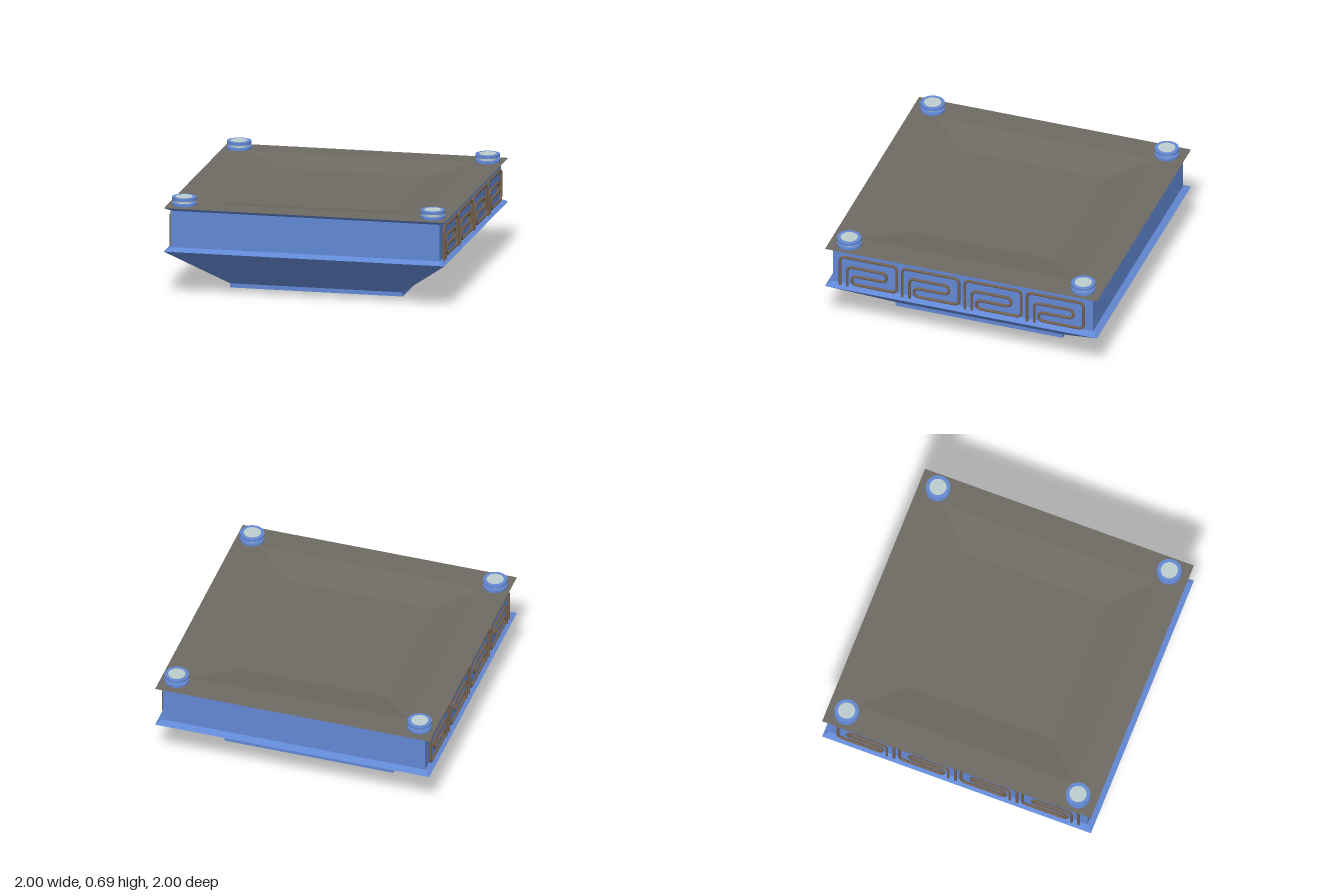
import * as THREE from 'three';

const mat = (color, flatShading = false) => new THREE.MeshStandardMaterial({ color, flatShading });

function add(parent, name, geometry, material) {
  const mesh = new THREE.Mesh(geometry, material);
  mesh.name = name;
  parent.add(mesh);
  return mesh;
}

// Square solid from a profile of [half width, height], going outward and up
function squareLathe(profile) {
  const pts = profile.map(([h, y]) => new THREE.Vector2(h * Math.SQRT2, y));
  return new THREE.LatheGeometry(pts, 4, Math.PI / 4);
}

// Path of straight runs joined by rounded corners
function roundedPath(points, r) {
  const path = new THREE.CurvePath();
  let from = points[0];
  for (let i = 1; i < points.length - 1; i++) {
    const p = points[i];
    const toward = (q, d) => p.clone().add(q.clone().sub(p).setLength(d));
    const a = toward(points[i - 1], r), b = toward(points[i + 1], r);
    const ca = toward(points[i - 1], r * 0.45), cb = toward(points[i + 1], r * 0.45);
    path.add(new THREE.LineCurve3(from, a));
    path.add(new THREE.CubicBezierCurve3(a, ca, cb, b));
    from = b;
  }
  path.add(new THREE.LineCurve3(from, points[points.length - 1]));
  return path;
}

export function createModel() {
  const model = new THREE.Group();
  model.name = 'panelledPlatform';

  const blue = mat(0x6288d4);
  const blueFlat = mat(0x6288d4, true);
  const grey = mat(0x6e6a63, true);
  const pale = mat(0xbccccc);
  const bronze = mat(0x75624f);

  // Body: recessed underside, foot, flared hull, ledge, wall and cornice
  add(model, 'body', squareLathe([
    [0, 0.05], [0.33, 0.05], [0.49, 0], [0.615, 0], [0.615, 0.03],
    [1, 0.325], [0.957, 0.35], [0.957, 0.61], [1, 0.635],
  ]), blueFlat);

  // Deck with a shallow sunken panel
  add(model, 'deck', squareLathe([
    [1, 0.635], [0.8, 0.635], [0.535, 0.585], [0, 0.585],
  ]), grey);

  // Corner bollards: two rims around a pale core
  for (const x of [-0.886, 0.886]) {
    for (const z of [-0.861, 0.861]) {
      const bollard = new THREE.Group();
      bollard.name = 'bollard';
      bollard.position.set(x, 0.635, z);
      add(bollard, 'lowerRim', new THREE.CylinderGeometry(0.085, 0.085, 0.017, 32), blue).position.y = 0.0085;
      add(bollard, 'core', new THREE.CylinderGeometry(0.06, 0.06, 0.06, 32), pale).position.y = 0.03;
      const rim = [[0.06, 0.038], [0.085, 0.038], [0.085, 0.058], [0.06, 0.058]];
      const rimGeometry = new THREE.LatheGeometry(rim.map(([r, y]) => new THREE.Vector2(r, y)), 32);
      add(bollard, 'upperRim', rimGeometry, blueFlat);
      model.add(bollard);
    }
  }

  // Meander tubing: four units on each side wall, mirrored left to right
  const meander = [
    [0, 0.342], [0, 0.578], [0.417, 0.578], [0.417, 0.364], [0.086, 0.364],
    [0.086, 0.433], [0.342, 0.433], [0.342, 0.503], [0.053, 0.503], [0.053, 0.342],
  ].map(([u, y]) => new THREE.Vector3(0, y, -u));
  const tube = new THREE.TubeGeometry(roundedPath(meander, 0.034), 180, 0.01, 8);
  for (const side of [-1, 1]) {
    for (let i = 0; i < 4; i++) {
      add(model, 'meanderTube', tube, bronze).position.set(side * 0.973, 0, 0.898 - i * 0.458);
    }
  }

  return model;
}
